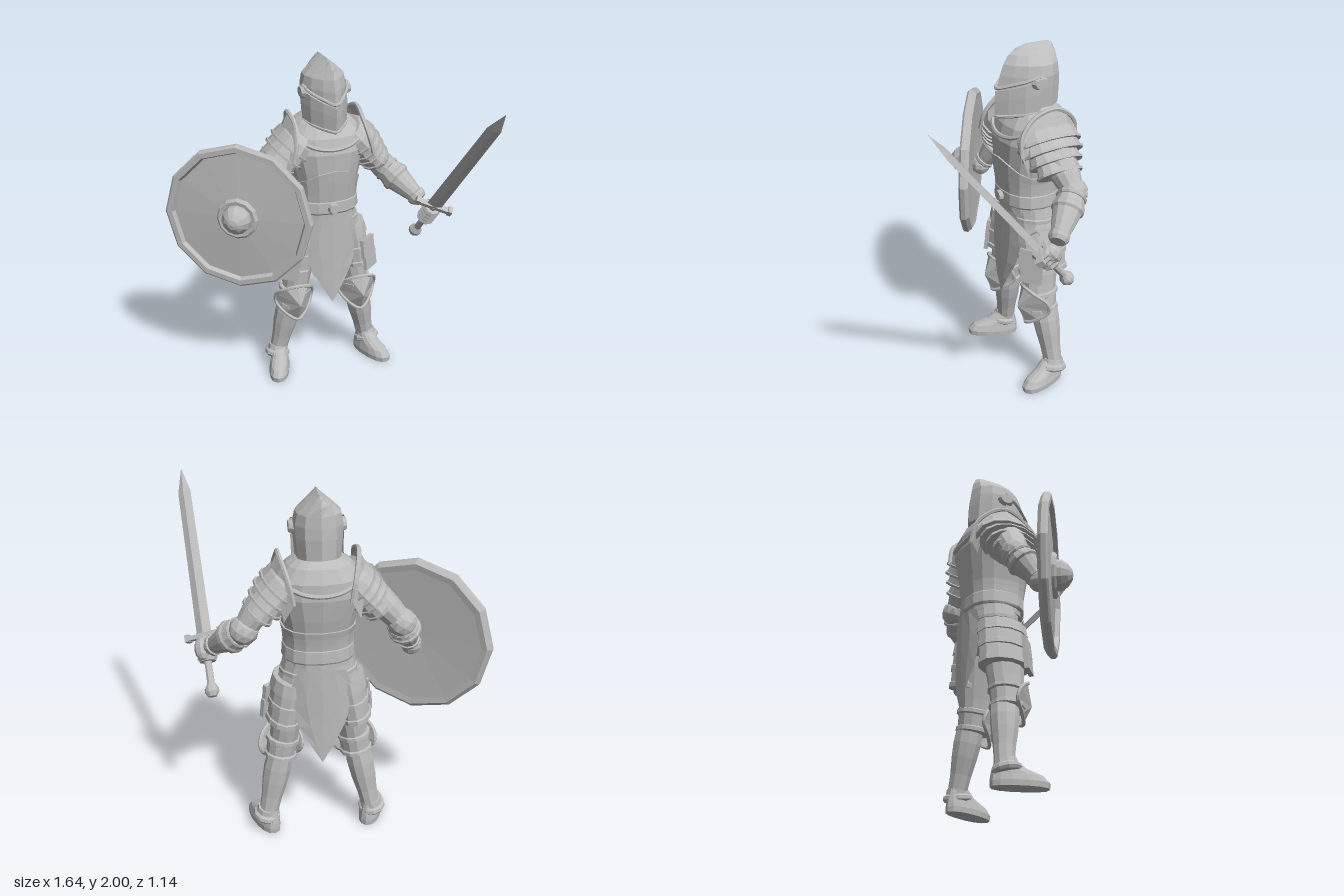
import * as THREE from 'three';

const steel = new THREE.MeshStandardMaterial({ color: 0xbcbcbc, flatShading: true, side: THREE.DoubleSide });
steel.name = 'steel';
const V = (x, y, z) => new THREE.Vector3(x, y, z);
const CX = 0.1; // body axis

function add(parent, name, geo) {
  const m = new THREE.Mesh(geo, steel);
  m.name = name;
  parent.add(m);
  return m;
}

// surface through rows of points, optionally closed around and capped
function grid(rows, closed = true, caps = true) {
  const n = rows[0].length, pos = rows.flat().flatMap(p => [p.x, p.y, p.z]), idx = [];
  for (let i = 0; i < rows.length - 1; i++)
    for (let j = 0; j < (closed ? n : n - 1); j++) {
      const k = (j + 1) % n, a = i * n + j, b = i * n + k;
      idx.push(a, b, b + n, a, b + n, a + n);
    }
  if (closed && caps) [0, rows.length - 1].forEach(i => {
    const c = rows[i].reduce((s, p) => s.add(p), V(0, 0, 0)).divideScalar(n), ci = pos.length / 3;
    pos.push(c.x, c.y, c.z);
    for (let j = 0; j < n; j++) {
      const a = i * n + j, b = i * n + (j + 1) % n;
      i ? idx.push(a, b, ci) : idx.push(b, a, ci);
    }
  });
  const g = new THREE.BufferGeometry();
  g.setAttribute('position', new THREE.Float32BufferAttribute(pos, 3));
  g.setIndex(idx);
  g.computeVertexNormals();
  return g;
}

// horizontal oval ring: half width and front / back z
const oval = (y, rx, zf, zb, cx = CX, n = 16, p = 1) => Array.from({ length: n }, (_, j) => {
  const a = j / n * Math.PI * 2, s = Math.sin(a), c = Math.cos(a);
  const pw = v => Math.sign(v) * Math.abs(v) ** p;
  return V(cx + rx * pw(s), y, (zf + zb) / 2 + (zf - zb) / 2 * pw(c));
});

// tapered limb from a to b; profile rows are [t, radius, depthRadius]
function limb(a, b, profile, n = 12) {
  const d = b.clone().sub(a), len = d.length(), Y = d.clone().normalize();
  const X = Y.clone().cross(V(0, 0, 1)).normalize(), Z = X.clone().cross(Y);
  const rows = profile.map(([t, rx, rz = rx]) => oval(t * len, rx, rz, -rz, 0, n));
  return grid(rows).applyMatrix4(new THREE.Matrix4().makeBasis(X, Y, Z).setPosition(a));
}
const tube = (pts, r, closed = false) =>
  new THREE.TubeGeometry(new THREE.CatmullRomCurve3(pts, closed), pts.length * 4, r, 6, closed);
const lathe = (pts, n) => new THREE.LatheGeometry(pts.map(p => new THREE.Vector2(...p)), n);

// torso outline: [y, half width, front z, back z]
const TORSO = [[1.06, .185, -.20, -.51], [1.18, .18, -.195, -.51], [1.24, .185, -.185, -.52], [1.35, .21, -.17, -.545],
  [1.47, .245, -.165, -.565], [1.56, .235, -.19, -.56], [1.63, .17, -.24, -.53], [1.67, .11, -.28, -.48]];
function torsoPoint(a, y, grow = 0) {
  let i = 0;
  while (i < TORSO.length - 2 && y > TORSO[i + 1][0]) i++;
  const A = TORSO[i], B = TORSO[i + 1], t = (y - A[0]) / (B[0] - A[0]);
  const [rx, zf, zb] = [1, 2, 3].map(k => A[k] + (B[k] - A[k]) * t);
  const pw = v => Math.sign(v) * Math.abs(v) ** .85;
  return V(CX + (rx + grow) * pw(Math.sin(a)), y, (zf + zb) / 2 + ((zf - zb) / 2 + grow) * pw(Math.cos(a)));
}
const around = f => Array.from({ length: 16 }, (_, j) => f(j / 16 * Math.PI * 2));

function buildBody(g) {
  add(g, 'breastplate', grid(TORSO.map(r => around(a => torsoPoint(a, r[0])))));
  // waist plate rising to a point at the front
  const top = a => 1.28 + .09 * Math.max(0, Math.cos(a)) ** 3;
  add(g, 'waistPlate', grid([0, .33, .66, 1, 1.01].map((t, i) =>
    around(a => torsoPoint(a, 1.17 + (top(a) - 1.17) * t, i < 4 ? .01 : -.01))), true, false));
  add(g, 'collarRim', tube(around(a => torsoPoint(a, 1.6 - .1 * Math.cos(a) ** 2, .003)), .012, true));
  add(g, 'belt', grid([oval(1.09, .195, -.19, -.52, CX, 16, .85), oval(1.1, .2, -.182, -.525, CX, 16, .85),
    oval(1.165, .195, -.182, -.522, CX, 16, .85), oval(1.175, .185, -.19, -.515, CX, 16, .85)]));
  add(g, 'buckle', new THREE.CylinderGeometry(.028, .035, .025, 10).rotateX(Math.PI / 2).translate(CX, 1.13, -.175));
  // overlapping hip bands
  [[1.1, 1.0, .19, .215], [1.02, .93, .205, .235], [.95, .86, .22, .25]].forEach(([t, b, r0, r1], i) =>
    add(g, 'hipBand' + (i + 1), grid([oval(b, r1 - .015, -.22, -.505), oval(b, r1, -.208, -.518),
      oval(b + .02, r1, -.208, -.518), oval(b + .025, r1 - .008, -.213, -.512), oval(t, r0, -.21, -.51)])));
  // pointed cloths, front and back
  const cloth = [[.5, .002], [.6, .06], [.72, .125], [.85, .165], [.93, .172], [1.05, .13]];
  [['frontCloth', -.19, -1], ['backCloth', -.535, 1]].forEach(([name, z, s]) =>
    add(g, name, grid(cloth.map(([y, w]) => [-1, -.5, 0, .5, 1].map(u =>
      V(CX + u * w, y + (y > 1 ? .02 * (1 - Math.abs(u)) : 0), z + s * ((u * w) ** 2 * 1.5 + Math.max(0, .9 - y) * .015)))), false)));
}

function buildHelmet(g) {
  const half = [[0, 1], [.42, .72], [.8, .35], [1, -.05], [.95, -.5], [.62, -.84]];
  const section = [...half, [0, -1], ...half.slice(1).reverse().map(([x, z]) => [-x, z])];
  const ring = ([y, rx, zf, zb, tilt = 0]) => section.map(([u, v]) =>
    V(CX + u * rx, y + tilt * (1 - v) / 2, (zf + zb) / 2 + v * (zf - zb) / 2));
  add(g, 'helmet', grid([[1.61, .118, -.155, -.52, .065], [1.76, .128, -.15, -.52, .02], [1.84, .13, -.165, -.515],
    [1.9, .118, -.185, -.508], [1.95, .066, -.215, -.5], [1.985, .022, -.26, -.485], [2, .004, -.32, -.46]].map(ring)));
  // visor wrapped around the front, with a raised V brow
  const arc = (y, grow, rise) => [[-1, -.05], [-.8, .35], [-.42, .72], [0, 1], [.42, .72], [.8, .35], [1, -.05]].map(([u, v]) =>
    V(CX + u * (.127 + grow), y + rise * (1 - v), -.335 + v * (.187 + grow)));
  add(g, 'visor', grid([arc(1.6, 0, .03), arc(1.605, .009, .03), arc(1.7, .012, .045), arc(1.755, .01, .07), arc(1.757, -.008, .07)], false));
  add(g, 'visorBrow', tube(arc(1.775, .007, .07), .009));
  add(g, 'visorHem', tube(arc(1.615, .006, .03), .008));
  [-1, 1].forEach(s => add(g, 'visorHinge', new THREE.CylinderGeometry(.03, .042, .03, 10)
    .scale(1, 1, 1.25).rotateZ(-s * Math.PI / 2).translate(CX + s * .135, 1.81, -.345)));
}

function buildLeg(g, s) {
  const P = (x, y, z) => V(CX + s * (x - CX), y, z);
  const leg = new THREE.Group();
  leg.name = s > 0 ? 'leftLeg' : 'rightLeg';
  g.add(leg);
  add(leg, 'thigh', limb(P(.305, .5, -.34), P(.24, .95, -.36), [[0, .078, .09], [.3, .082, .105], [1, .11, .13]]));
  add(leg, 'thighBands', limb(P(.298, .7, -.362), P(.25, .96, -.362), [[0, .085, .135], [0, .1, .152], [.1, .1, .152], [.12, .092, .145],
    [.38, .092, .145], [.38, .104, .152], [.48, .104, .152], [.5, .098, .146], [.74, .098, .146], [.74, .108, .152], [1, .1, .146]]));
  // hanging plates on the outer front of the thigh
  [[.345, .815, .13], [.36, .73, .125]].forEach(([x, y, w], i) => {
    const p = add(leg, 'thighPlate' + (i + 1), new THREE.BoxGeometry(w, .115, .025));
    p.position.copy(P(x, y, -.25));
    p.rotation.set(-.12, s * .7, 0, 'YXZ');
  });
  add(leg, 'kneeBand', limb(P(.318, .45, -.35), P(.298, .58, -.34), [[0, .08, .085], [.05, .092, .1], [.2, .092, .1], [.25, .083, .09],
    [.75, .085, .1], [.8, .096, .112], [.95, .096, .112], [1, .085, .1]]));
  // faceted knee cap with a rolled rim
  const edge = [[0, .62, -.235], [-.07, .6, -.26], [-.115, .55, -.32], [-.115, .49, -.34], [-.07, .425, -.29], [0, .385, -.25],
    [.07, .425, -.29], [.115, .49, -.34], [.115, .55, -.32], [.07, .6, -.26]].map(([x, y, z]) => V(.308 + (x), y, z))
    .map(p => P(p.x, p.y, p.z));
  if (s < 0) edge.reverse();
  add(leg, 'kneeCap', grid([edge, edge.map(() => P(.305, .5, -.195))], true, false));
  add(leg, 'kneeRim', tube(edge, .011, true));
  add(leg, 'shin', limb(P(.402, .08, -.4), P(.32, .47, -.365), [[0, .058], [.15, .055], [.35, .06], [.6, .073], [.8, .077, .08], [1, .07, .08]], 10));
  add(leg, 'ankleCuff', limb(P(.408, .075, -.385), P(.397, .145, -.395), [[0, .068, .075], [.2, .078, .085], [.45, .076, .08], [.6, .062, .066], [1, .058, .06]], 10));
  const foot = add(leg, 'foot', grid([oval(0, .062, .158, -.15, 0, 14, .85), oval(.03, .064, .162, -.152, 0, 14, .85), oval(.065, .056, .13, -.148, 0, 14, .85),
    oval(.1, .05, .045, -.14, 0, 14), oval(.14, .044, -.01, -.13, 0, 14)]));
  foot.position.copy(P(.413, 0, -.32));
  foot.rotation.y = s * .35;
}

function buildArm(g, s, elbowAt, wristAt) {
  const P = (x, y, z) => V(CX + s * (x - CX), y, z);
  const arm = new THREE.Group();
  arm.name = s > 0 ? 'leftArm' : 'rightArm';
  g.add(arm);
  // layered shoulder plates
  const prof = [];
  [[0, .3, .115, .185], [.3, .55, .112, .175], [.55, .8, .1, .152], [.8, 1.08, .086, .128]].forEach(([a, b, r, z]) =>
    prof.push([a, r - .006, z - .008], [b - .07, r, z], [b - .06, r + .01, z + .01], [b, r + .008, z + .008]));
  add(arm, 'shoulderPlates', limb(P(.27, 1.53, -.365), P(.415, 1.36, -.37), [[-.2, .085, .14], ...prof], 14));
  // upright neck guard on the shoulder
  const arch = [[.25, 1.46, -.565], [.27, 1.57, -.545], [.295, 1.65, -.47], [.31, 1.685, -.38], [.305, 1.64, -.26], [.32, 1.55, -.19], [.345, 1.45, -.178]];
  add(arm, 'neckGuard', grid([arch.map(([x, y, z]) => P(x + .05, y - .1, -.365 + (z + .365) * .9)), arch.map(p => P(...p))], false));
  add(arm, 'neckGuardRim', tube(arch.map(p => P(...p)), .013));
  add(arm, 'upperArm', limb(P(.35, 1.48, -.37), elbowAt, [[0, .08, .09], [.6, .076, .085], [.85, .068], [1, .066]]));
  add(arm, 'elbow', new THREE.IcosahedronGeometry(.082, 1).translate(elbowAt.x, elbowAt.y, elbowAt.z));
  const wing = add(arm, 'elbowRim', new THREE.TorusGeometry(.075, .012, 6, 12));
  wing.position.copy(elbowAt).lerp(wristAt, .12);
  wing.lookAt(wristAt);
  add(arm, 'forearm', limb(elbowAt, wristAt, [[0, .066], [.15, .076], [.28, .084], [.32, .092], [.4, .092], [.44, .08], [.7, .064], [.88, .052], [.9, .06], [.98, .058], [1.05, .045]]));
}

function buildSword(g) {
  const sword = new THREE.Group();
  sword.name = 'sword';
  g.add(sword);
  const Y = V(.07, .77, .645).normalize(), Z = V(.2, -.06, .09).cross(Y).normalize(), X = Y.clone().cross(Z);
  sword.applyMatrix4(new THREE.Matrix4().makeBasis(X, Y, Z).setPosition(.7, 1.1, -.08));
  add(sword, 'blade', grid([[0, .046, .017], [.86, .04, .013], [1.005, .001, .001]].map(([y, w, t]) =>
    [V(0, y, t), V(w, y, 0), V(0, y, -t), V(-w, y, 0)])));
  add(sword, 'guard', new THREE.BoxGeometry(.2, .026, .034));
  [-1, 1].forEach(s => add(sword, 'guardEnd', new THREE.BoxGeometry(.026, .042, .042).translate(s * .102, .003, 0)));
  add(sword, 'grip', new THREE.CylinderGeometry(.02, .022, .28, 8).translate(0, -.14, 0));
  add(sword, 'pommel', lathe([[0, -.355], [.024, -.35], [.04, -.325], [.04, -.305], [.022, -.275], [0, -.27]], 10));
  // gloved fist around the grip
  [-.035, -.068, -.101, -.134].forEach((y, i) => add(sword, 'finger' + (i + 1),
    new THREE.TorusGeometry(.036, .021, 6, 9).rotateX(Math.PI / 2).translate(0, y, 0)));
  add(sword, 'palm', new THREE.SphereGeometry(.06, 9, 6).scale(.8, 1.1, .8).translate(0, -.085, -.04));
}

function buildShield(g) {
  const shield = new THREE.Group();
  shield.name = 'shield';
  shield.position.set(-.445, 1.12, -.285);
  shield.rotation.y = -.585;
  g.add(shield);
  const disc = (name, pts) => add(shield, name, lathe(pts, 12).rotateX(Math.PI / 2));
  disc('shieldFace', [[0, 0], [.39, -.015], [.425, -.02], [.447, 0], [.447, .025], [.435, .036], [.405, .036], [.392, .01], [0, .035]]);
  disc('bossRing', [[.125, .015], [.125, .042], [.112, .054], [.09, .05], [.085, .03]]);
  disc('boss', [[.088, .03], [.085, .075], [.062, .11], [.03, .132], [0, .138]]);
}

export function createModel() {
  const g = new THREE.Group();
  g.name = 'knight';
  buildBody(g);
  buildHelmet(g);
  [-1, 1].forEach(s => buildLeg(g, s));
  buildArm(g, 1, V(.5, 1.27, -.41), V(.665, 1.1, -.225));
  buildArm(g, -1, V(-.34, 1.27, -.43), V(-.41, 1.11, -.335));
  add(g, 'rightFist', new THREE.SphereGeometry(.06, 9, 7).translate(-.42, 1.09, -.325));
  buildSword(g);
  buildShield(g);
  return g;
}
